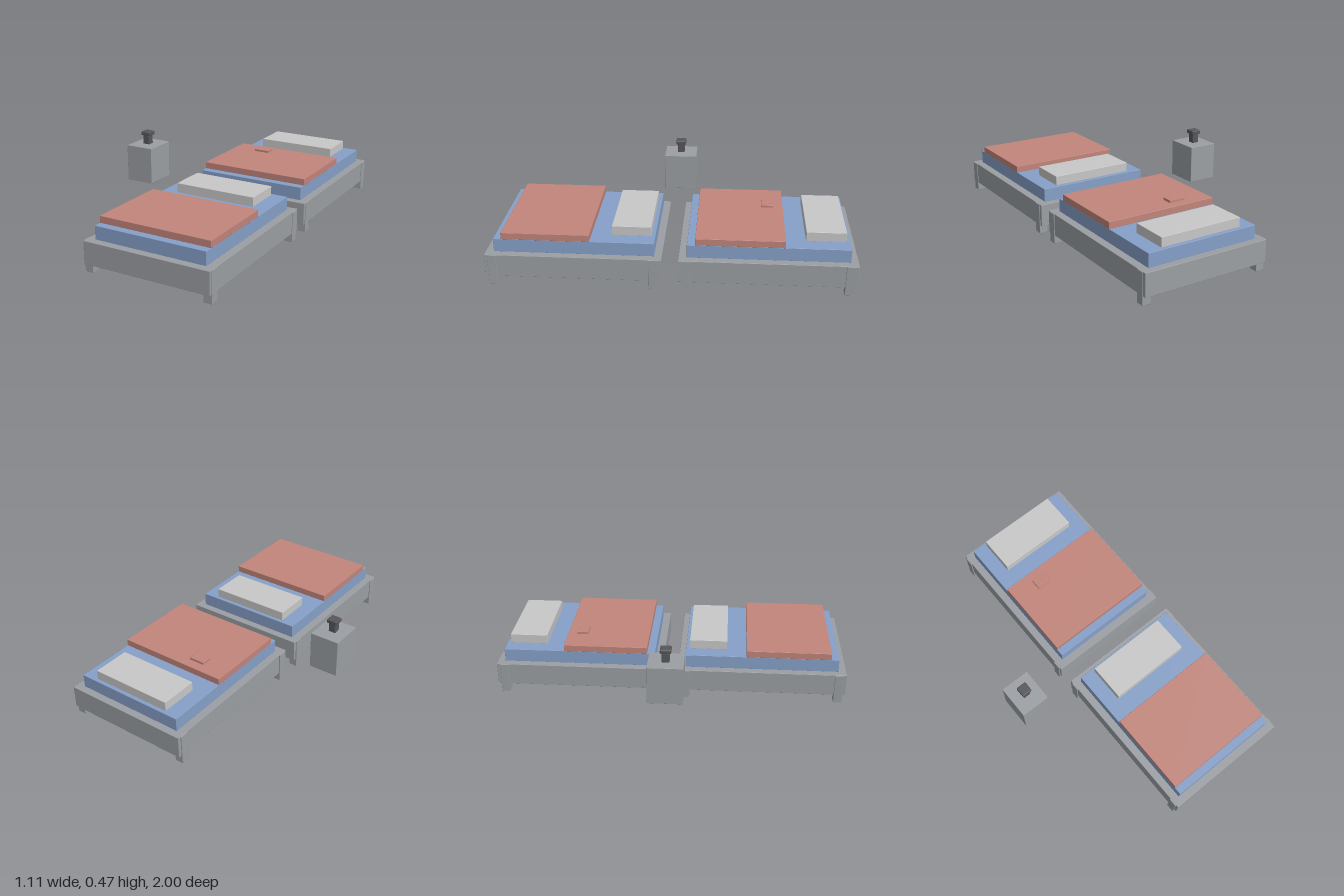
import * as THREE from 'three';
import { RoundedBoxGeometry } from 'three/addons/geometries/RoundedBoxGeometry.js';

const paint = (name, color) => {
  const m = new THREE.MeshStandardMaterial({ color });
  m.name = name;
  return m;
};

// Softly bevelled box given by its extents on each axis
function block(parent, name, material, [x0, x1], [y0, y1], [z0, z1], bevel = 0.002) {
  const geometry = new RoundedBoxGeometry(x1 - x0, y1 - y0, z1 - z0, 1, bevel);
  const mesh = new THREE.Mesh(geometry, material);
  mesh.name = name;
  mesh.position.set((x0 + x1) / 2, (y0 + y1) / 2, (z0 + z1) / 2);
  parent.add(mesh);
  return mesh;
}

export function createModel() {
  const grey = paint('frameGrey', 0x9b9fa3);
  const blue = paint('mattressBlue', 0x86a0c8);
  const red = paint('blanketRed', 0xc1857b);
  const pale = paint('pillowGrey', 0xc8c8c8);
  const dark = paint('lampGrey', 0x57575b);

  const model = new THREE.Group();
  model.name = 'twinBedroom';

  // One bed, head towards -z
  function makeBed(name, z) {
    const bed = new THREE.Group();
    bed.name = name;
    bed.position.z = z;
    block(bed, 'bedFrame', grey, [-0.186, 0.55], [0.048, 0.175], [0.045, 1]);
    for (const x of [-0.192, 0.505])
      for (const legZ of [0.063, 0.935])
        block(bed, 'bedLeg', grey, [x, x + 0.049], [0, 0.174], [legZ, legZ + 0.049]);
    block(bed, 'mattress', blue, [-0.143, 0.506], [0.174, 0.25], [0.086, 0.956]);
    block(bed, 'blanket', red, [-0.144, 0.507], [0.249, 0.288], [0.434, 0.912]);
    block(bed, 'pillow', pale, [-0.058, 0.418], [0.249, 0.303], [0.107, 0.322]);
    // Small pads under the frame
    for (const x of [0.313, 0.4])
      block(bed, 'underPad', grey, [x, x + 0.041], [0.038, 0.05], [0.16, 0.236]);
    model.add(bed);
    return bed;
  }
  makeBed('frontBed', 0);
  const backBed = makeBed('backBed', -1.045);
  block(backBed, 'book', red, [0.004, 0.097], [0.286, 0.301], [0.489, 0.553]);

  // Wall-hung bedside cabinet with a small lamp
  const bedside = new THREE.Group();
  bedside.name = 'bedside';
  block(bedside, 'cabinet', grey, [-0.555, -0.384], [0.177, 0.393], [-0.097, 0.097]);
  block(bedside, 'lampStem', dark, [-0.491, -0.449], [0.392, 0.446], [-0.021, 0.021], 0.004);
  block(bedside, 'lampHead', dark, [-0.5, -0.44], [0.446, 0.47], [-0.03, 0.03], 0.006);
  model.add(bedside);

  return model;
}
